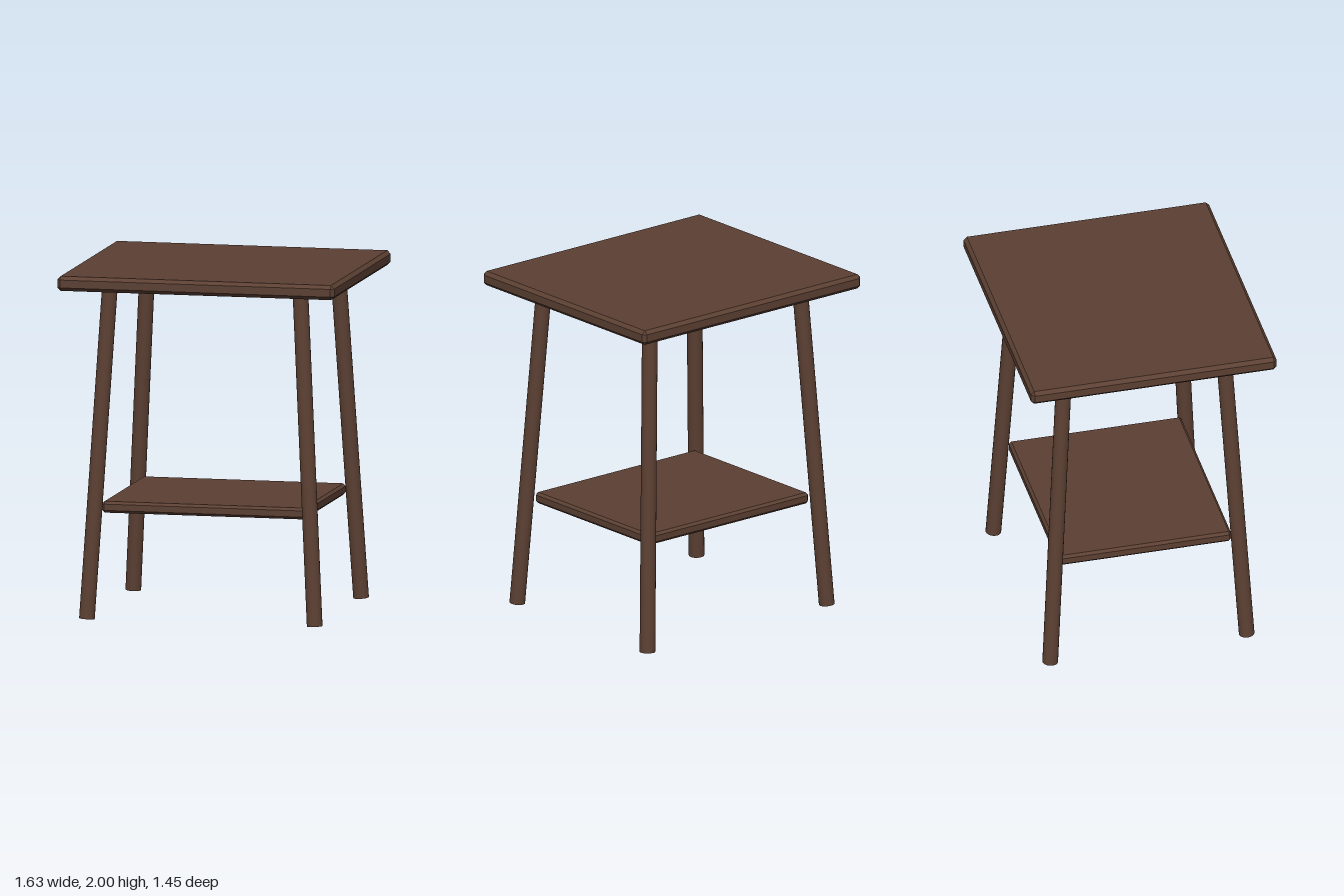
import * as THREE from 'three';
import { ConvexGeometry } from 'three/addons/geometries/ConvexGeometry.js';

const wood = new THREE.MeshStandardMaterial({ color: 0x5c4033 });
wood.name = 'darkBrownWood';

// Board with every edge chamfered: three points around each corner
function board(name, halfX, halfZ, bottom, top, chamfer) {
  const half = new THREE.Vector3(halfX, (top - bottom) / 2, halfZ);
  const points = [];
  for (const sx of [-1, 1]) for (const sy of [-1, 1]) for (const sz of [-1, 1]) {
    for (const axis of ['x', 'y', 'z']) {
      const p = half.clone().subScalar(chamfer);
      p[axis] = half[axis];
      points.push(p.multiply(new THREE.Vector3(sx, sy, sz)));
    }
  }
  const mesh = new THREE.Mesh(new ConvexGeometry(points), wood);
  mesh.name = name;
  mesh.position.y = (top + bottom) / 2;
  return mesh;
}

// Round leg between two points, its ends cut square to its axis
function leg(name, from, to, radius) {
  const axis = to.clone().sub(from);
  const mesh = new THREE.Mesh(new THREE.CylinderGeometry(radius, radius, axis.length(), 20), wood);
  mesh.name = name;
  mesh.position.copy(from).add(to).multiplyScalar(0.5);
  mesh.quaternion.setFromUnitVectors(new THREE.Vector3(0, 1, 0), axis.normalize());
  return mesh;
}

export function createModel() {
  const table = new THREE.Group();
  table.name = 'sideTable';

  table.add(board('tableTop', 0.815, 0.725, 1.915, 2, 0.02));
  table.add(board('lowerShelf', 0.6, 0.51, 0.608, 0.674, 0.015));

  // Four splayed legs
  for (const sx of [-1, 1]) for (const sz of [-1, 1]) {
    const name = (sz > 0 ? 'front' : 'back') + (sx > 0 ? 'Left' : 'Right') + 'Leg';
    table.add(leg(
      name,
      new THREE.Vector3(sx * 0.67, 0.004, sz * 0.58),
      new THREE.Vector3(sx * 0.56, 1.925, sz * 0.47),
      0.045
    ));
  }
  return table;
}
